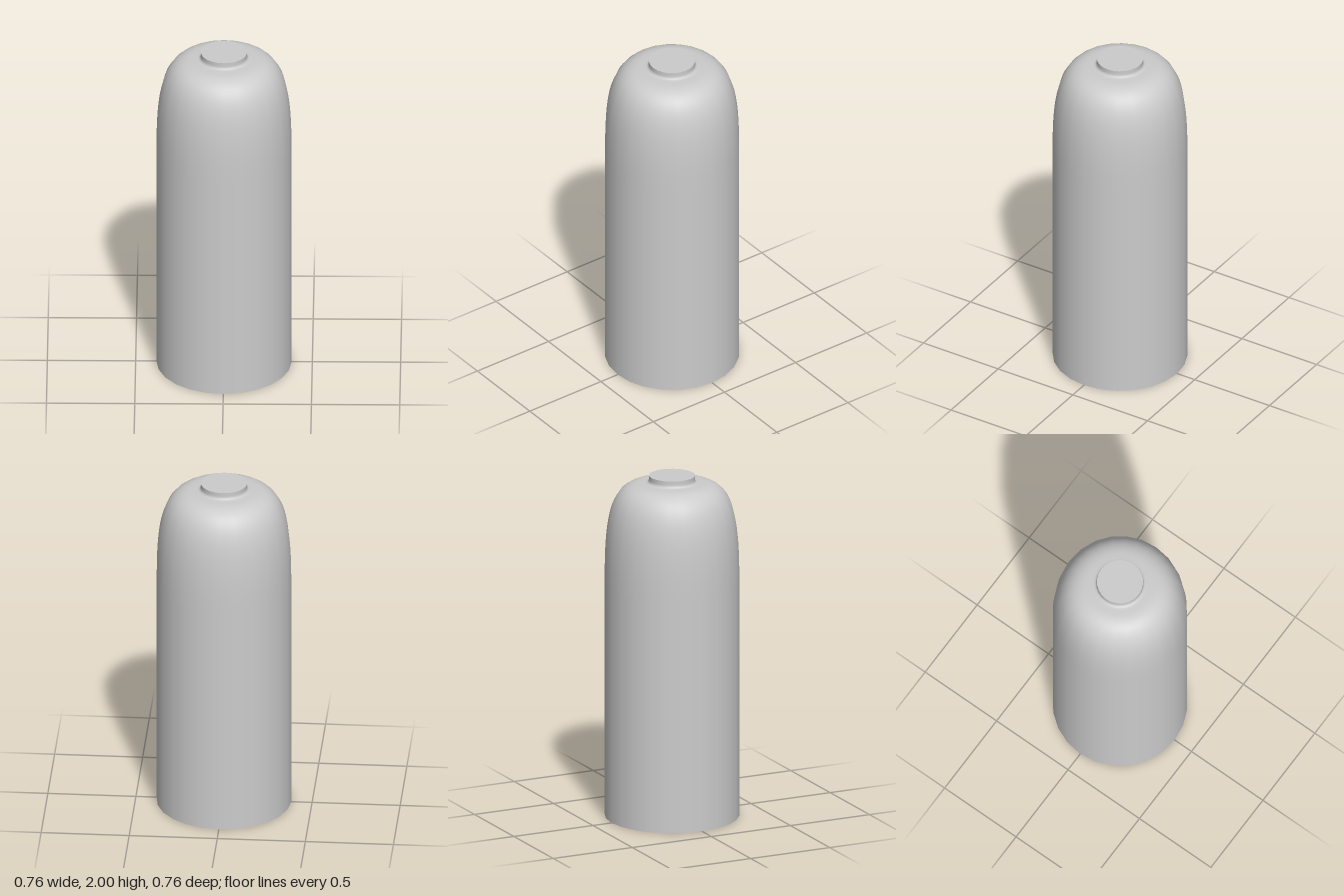
import * as THREE from 'three';

const SIDES = 24;
const BODY_R = 0.382;
const NECK_R = 0.131;
const HEIGHT = 2;

export function createModel() {
  const group = new THREE.Group();
  group.name = 'bottle';
  const material = new THREE.MeshStandardMaterial({ color: 0xcccccc });

  const add = (name, geometry) => {
    const mesh = new THREE.Mesh(geometry, material);
    mesh.name = name;
    group.add(mesh);
    return mesh;
  };

  // Profile: straight wall, long rounded shoulder, small fillet into the neck
  const v = (x, y) => new THREE.Vector2(x, y);
  const shoulder = new THREE.CubicBezierCurve(
    v(BODY_R, 1.4), v(BODY_R, 1.8), v(0.337, 1.957), v(0.165, 1.957));
  const fillet = new THREE.QuadraticBezierCurve(
    v(0.15, 1.958), v(NECK_R, 1.959), v(NECK_R, 1.98));
  const profile = [
    v(BODY_R, 0),
    v(BODY_R, 1.36),
    ...shoulder.getPoints(20),
    ...fillet.getPoints(5),
    v(NECK_R, HEIGHT),
  ];
  add('body', new THREE.LatheGeometry(profile, SIDES));

  // Flat closing discs, separate so their rims stay sharp
  const disc = (name, radius, y, turn) => {
    const mesh = add(name, new THREE.CircleGeometry(radius, SIDES));
    mesh.rotation.x = turn;
    mesh.position.y = y;
  };
  disc('neckTop', NECK_R, HEIGHT, -Math.PI / 2);
  disc('base', BODY_R, 0, Math.PI / 2);

  return group;
}
